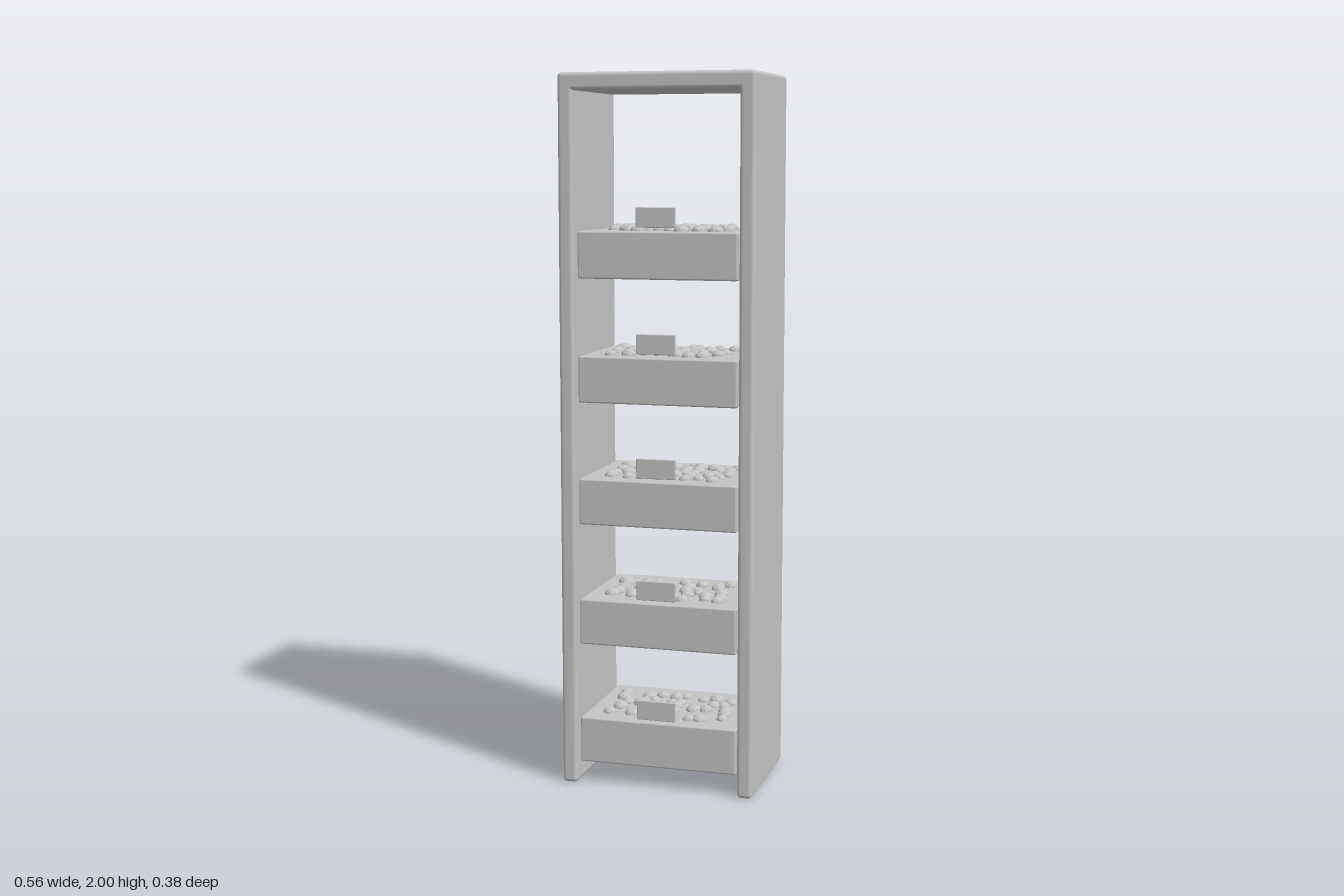
import * as THREE from 'three';
import { RoundedBoxGeometry } from 'three/addons/geometries/RoundedBoxGeometry.js';

const grey = new THREE.MeshStandardMaterial({ color: 0xc4c4c4 });
grey.name = 'light grey';

function box(name, w, h, d, x, y, z, r) {
  const mesh = new THREE.Mesh(new RoundedBoxGeometry(w, h, d, 3, r), grey);
  mesh.name = name;
  mesh.position.set(x, y, z);
  return mesh;
}

// small repeatable random generator
function seeded(seed) {
  return () => (seed = (seed * 16807) % 2147483647) / 2147483647;
}

// faceted, slightly squashed lumps scattered over a tray
function makeProduce(seed) {
  const group = new THREE.Group();
  group.name = 'produce';
  const rand = seeded(seed);
  const lump = new THREE.IcosahedronGeometry(0.022, 1);
  for (let row = 0; row < 5; row++) {
    for (let col = 0; col < 8; col++) {
      const x = -0.154 + col * 0.044 + (rand() - 0.5) * 0.03;
      const z = -0.085 + row * 0.046 + (rand() - 0.5) * 0.03;
      const turn = rand() * 6;
      const size = 0.8 + rand() * 0.25;
      if (rand() < 0.1) continue;
      const mesh = new THREE.Mesh(lump, grey);
      mesh.name = 'produceLump';
      mesh.position.set(x, 0, z);
      mesh.rotation.y = turn;
      mesh.scale.set(size, size * 0.8, size);
      group.add(mesh);
    }
  }
  return group;
}

export function createModel() {
  const model = new THREE.Group();
  model.name = 'displayRack';

  // open frame: two side panels and a top
  for (const s of [-1, 1]) {
    model.add(box(s > 0 ? 'leftPanel' : 'rightPanel', 0.043, 2, 0.376, s * 0.2565, 1, 0, 0.011));
  }
  model.add(box('topPanel', 0.556, 0.048, 0.376, 0, 1.976, 0, 0.011));

  // five filled trays, each with a small label plate at the front
  for (let i = 0; i < 5; i++) {
    const shelf = new THREE.Group();
    shelf.name = 'shelf' + (i + 1);
    shelf.position.y = 0.126 + i * 0.345;
    shelf.add(box('tray', 0.455, 0.13, 0.346, 0, 0, 0, 0.005));
    const produce = makeProduce(41 + i * 977);
    produce.position.y = 0.065;
    shelf.add(produce);
    shelf.add(box('labelPlate', 0.112, 0.055, 0.009, 0, 0.104, 0.18, 0.002));
    model.add(shelf);
  }

  // flat facets on the lumps come from unshared normals
  model.traverse((o) => {
    if (o.isMesh && o.name === 'produceLump' && !o.geometry.userData.flat) {
      o.geometry.computeVertexNormals();
      o.geometry.userData.flat = true;
    }
  });
  return model;
}
